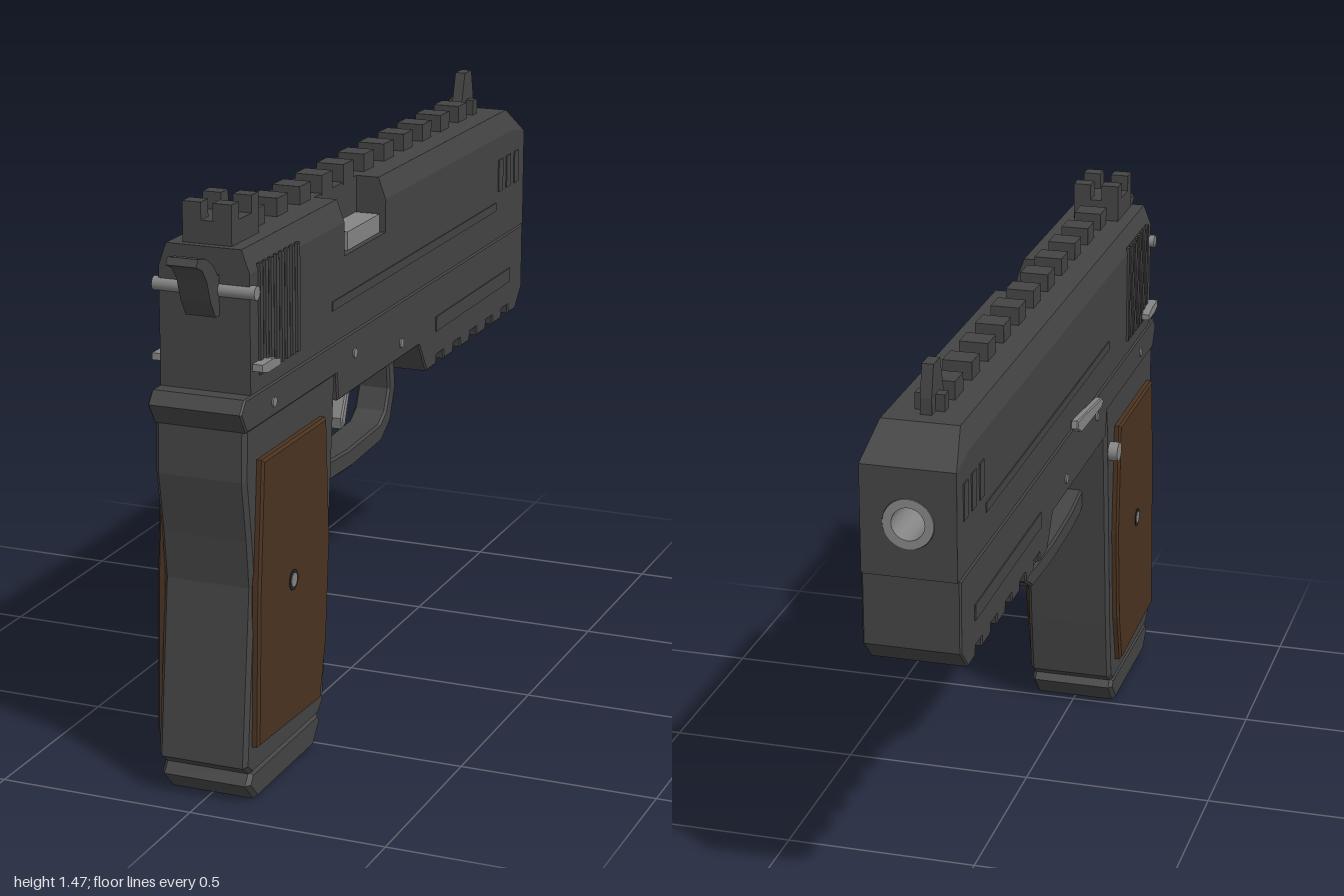
import * as THREE from 'three';

const mat = (name, color) => Object.assign(new THREE.MeshStandardMaterial({ color }), { name });

export function createModel() {
  const model = new THREE.Group();
  const gunmetal = mat('gunmetal', 0x444444);
  const wood = mat('walnut', 0x4b3320);
  const steel = mat('steel', 0x858585);
  const shadow = mat('blackened', 0x262626);

  const add = (name, geo, material, x = 0, y = 0, z = 0) => {
    const mesh = new THREE.Mesh(geo, material);
    mesh.name = name;
    mesh.position.set(x, y, z);
    model.add(mesh);
    return mesh;
  };
  const box = (name, material, x0, x1, y0, y1, z0, z1) =>
    add(name, new THREE.BoxGeometry(x1 - x0, y1 - y0, z1 - z0), material,
      (x0 + x1) / 2, (y0 + y1) / 2, (z0 + z1) / 2);
  const shapeOf = pts => new THREE.Shape(pts.map(p => new THREE.Vector2(...p)));

  // Side profile of [z, y] points, extruded across x
  const plate = (name, pts, halfWidth, material, bevel = 0, x = 0) => {
    const geo = new THREE.ExtrudeGeometry(shapeOf(pts), {
      depth: 2 * (halfWidth - bevel), bevelEnabled: bevel > 0, bevelSize: bevel,
      bevelThickness: bevel, bevelOffset: -bevel, bevelSegments: 1,
    });
    geo.translate(0, 0, bevel - halfWidth).rotateY(-Math.PI / 2);
    return add(name, geo, material, x);
  };
  // Cross-section of [x, y] points, extruded along z
  const section = (name, shape, z0, z1) => {
    const geo = new THREE.ExtrudeGeometry(shape, { depth: z1 - z0, bevelEnabled: false, curveSegments: 16 });
    return add(name, geo.translate(0, 0, z0), gunmetal);
  };
  const pin = (name, material, r, x0, x1, y, z, sides = 16) =>
    add(name, new THREE.CylinderGeometry(r, r, x1 - x0, sides).rotateZ(Math.PI / 2), material, (x0 + x1) / 2, y, z);

  // Slide: full rear, notched middle for the port, bored front
  const W = 0.115;
  const full = [[-W, 1.012], [W, 1.012], [W, 1.3], [0.095, 1.355], [-0.095, 1.355], [-W, 1.3]];
  section('slideRear', shapeOf(full), 0.32, 0.88);
  section('slidePort', shapeOf([[-W, 1.012], [W, 1.012], [W, 1.215], [0.035, 1.215], [0.035, 1.355],
    [-0.095, 1.355], [-W, 1.3]]), 0.05, 0.32);
  section('slideFront', shapeOf(full), -0.7, 0.05);
  const boreY = 1.145;
  const noseShape = shapeOf(full);
  noseShape.holes.push(new THREE.Path().absarc(0, boreY, 0.062, 0, Math.PI * 2, true));
  section('slideNose', noseShape, -0.9, -0.7);
  const tip = section('slideTip', noseShape, -1, -0.9).geometry;
  const pos = tip.attributes.position;
  for (let i = 0; i < pos.count; i++) { // slope the top of the tip down
    if (pos.getZ(i) < -0.99 && pos.getY(i) > 1.28) {
      pos.setXYZ(i, Math.sign(pos.getX(i)) * W, 1.28, pos.getZ(i));
    }
  }
  tip.computeVertexNormals();

  // Barrel with open bore
  const tube = new THREE.Shape().absarc(0, boreY, 0.061, 0, Math.PI * 2);
  tube.holes.push(new THREE.Path().absarc(0, boreY, 0.04, 0, Math.PI * 2, true));
  section('barrel', tube, -1.002, -0.7).material = steel;
  add('boreEnd', new THREE.CircleGeometry(0.045, 24).rotateY(Math.PI), shadow, 0, boreY, -0.705);
  box('chamber', steel, 0.03, 0.1, 1.21, 1.262, 0.055, 0.265);

  // Slide details on both sides
  for (const s of [-1, 1]) {
    const side = (name, material, y0, y1, z0, z1, out = 0.004) => {
      const a = s * (W - 0.003), b = s * (W + out);
      return box(name, material, Math.min(a, b), Math.max(a, b), y0, y1, z0, z1);
    };
    for (let i = 0; i < 8; i++) side('gripRib', gunmetal, 1.05, 1.315, 0.605 + i * 0.0305, 0.621 + i * 0.0305, 0.006);
    for (let i = 0; i < 3; i++) side('vent', gunmetal, 1.145, 1.235, -0.822 - i * 0.064, -0.788 - i * 0.064, 0.003);
    side('slideStripe', gunmetal, 1.095, 1.118, -0.77, 0.4, 0.003);
    side('frameStripe', gunmetal, 0.868, 0.908, -0.88, -0.3, 0.007);
  }

  // Accessory ridge on top
  for (let i = 0; i < 11; i++) {
    const z = 0.65 - i * 0.1362;
    box('topRailTooth', gunmetal, -0.036, 0.036, 1.35, 1.4, z - 0.033, z + 0.033);
  }

  // Rear sight: base and four posts
  box('rearSightBase', gunmetal, -0.062, 0.062, 1.35, 1.41, 0.71, 0.86);
  for (const s of [-1, 1]) {
    for (const z of [0.73, 0.84]) {
      plate('rearSightPost', [[z - 0.02, 1.4], [z + 0.02, 1.4], [z + 0.02, 1.452], [z - 0.02, 1.452]],
        0.0235, gunmetal, 0, s * 0.0385);
    }
  }
  // Front sight
  plate('frontSightBlade', [[-0.765, 1.395], [-0.787, 1.472], [-0.838, 1.472], [-0.855, 1.395],
    [-0.855, 1.35], [-0.765, 1.35]].reverse(), 0.014, gunmetal);
  box('frontSightFoot', gunmetal, -0.036, 0.036, 1.35, 1.396, -0.825, -0.795);

  // Frame with toothed lower rail
  const frame = [[0.92, 1.012], [0.945, 0.982], [0.912, 0.93], [0.38, 0.93], [0.37, 0.86], [-0.18, 0.86], [-0.235, 0.775]];
  for (let i = 0; i < 5; i++) {
    const z = -0.335 - i * 0.128;
    frame.push([z + 0.03, 0.775], [z + 0.025, 0.8], [z - 0.025, 0.8], [z - 0.03, 0.775]);
  }
  frame.push([-0.935, 0.775], [-0.988, 0.83], [-0.988, 1.012]);
  plate('frame', frame, 0.119, gunmetal, 0.004);

  // Grip, base and panels
  plate('grip', [[0.912, 0.94], [0.918, 0.81], [0.895, 0.66], [0.882, 0.54], [0.905, 0.33], [0.93, 0.1], [0.895, 0.073],
    [0.495, 0.073], [0.462, 0.1], [0.44, 0.27], [0.41, 0.62], [0.38, 0.94]], 0.116, gunmetal, 0.01);
  plate('gripBase', [[0.895, 0.08], [0.918, 0.05], [0.87, 0], [0.525, 0], [0.477, 0.058], [0.495, 0.08]],
    0.116, gunmetal, 0.01);
  for (const s of [-1, 1]) {
    plate('gripPanel', [[0.853, 0.85], [0.88, 0.53], [0.895, 0.145], [0.52, 0.13], [0.483, 0.275], [0.46, 0.535],
      [0.477, 0.85]], 0.013, wood, 0.006, s * 0.121);
    const button = (name, material, r, out, y, z) =>
      pin(name, material, r, Math.min(s * 0.1, s * out), Math.max(s * 0.1, s * out), y, z);
    button('screwRing', shadow, 0.026, 0.1355, 0.5, 0.685);
    button('screw', steel, 0.018, 0.137, 0.5, 0.685);
    for (const [z, y] of [[0.76, 0.965], [0.265, 0.955], [-0.05, 0.9]]) button('framePin', steel, 0.012, 0.123, y, z);
    // Safety lever
    plate('safetyLever', [[0.87, 1.085], [0.87, 1.068], [0.84, 1.06], [0.765, 1.06], [0.765, 1.075], [0.81, 1.085]],
      0.013, steel, 0, s * 0.128);
  }

  // Trigger guard and trigger
  plate('triggerGuard', [[0.42, 0.685], [0.42, 0.635], [0.39, 0.618], [0.3, 0.607], [0.1, 0.6], [-0.1, 0.61], [-0.165, 0.65],
    [-0.2, 0.74], [-0.18, 0.87], [-0.14, 0.87], [-0.14, 0.85], [-0.155, 0.74], [-0.13, 0.685], [-0.09, 0.66],
    [0.12, 0.652], [0.3, 0.662]], 0.045, gunmetal, 0.006);
  plate('trigger', [[0.08, 0.87], [0.07, 0.82], [0.115, 0.73], [0.108, 0.7], [0.09, 0.71], [0.06, 0.79], [0.035, 0.87]],
    0.022, steel, 0.004);

  // Hammer and cross pin
  plate('hammer', [[0.86, 1.3], [0.86, 1.195], [0.9, 1.195], [0.925, 1.235], [0.945, 1.29], [0.968, 1.32], [1, 1.335],
    [0.99, 1.352], [0.95, 1.345], [0.91, 1.32], [0.885, 1.29]].reverse(), 0.038, gunmetal);
  pin('crossPin', steel, 0.017, -0.13, 0.13, 1.255, 0.872);

  // Left-hand controls
  plate('slideRelease', [[0.27, 1.0], [0.25, 0.988], [0.04, 0.995], [-0.005, 1.02], [0, 1.04], [0.06, 1.035], [0.25, 1.015]],
    0.01, steel, 0.003, -0.127);
  pin('magazineButton', steel, 0.026, -0.142, -0.1, 0.795, 0.43);

  return model;
}
